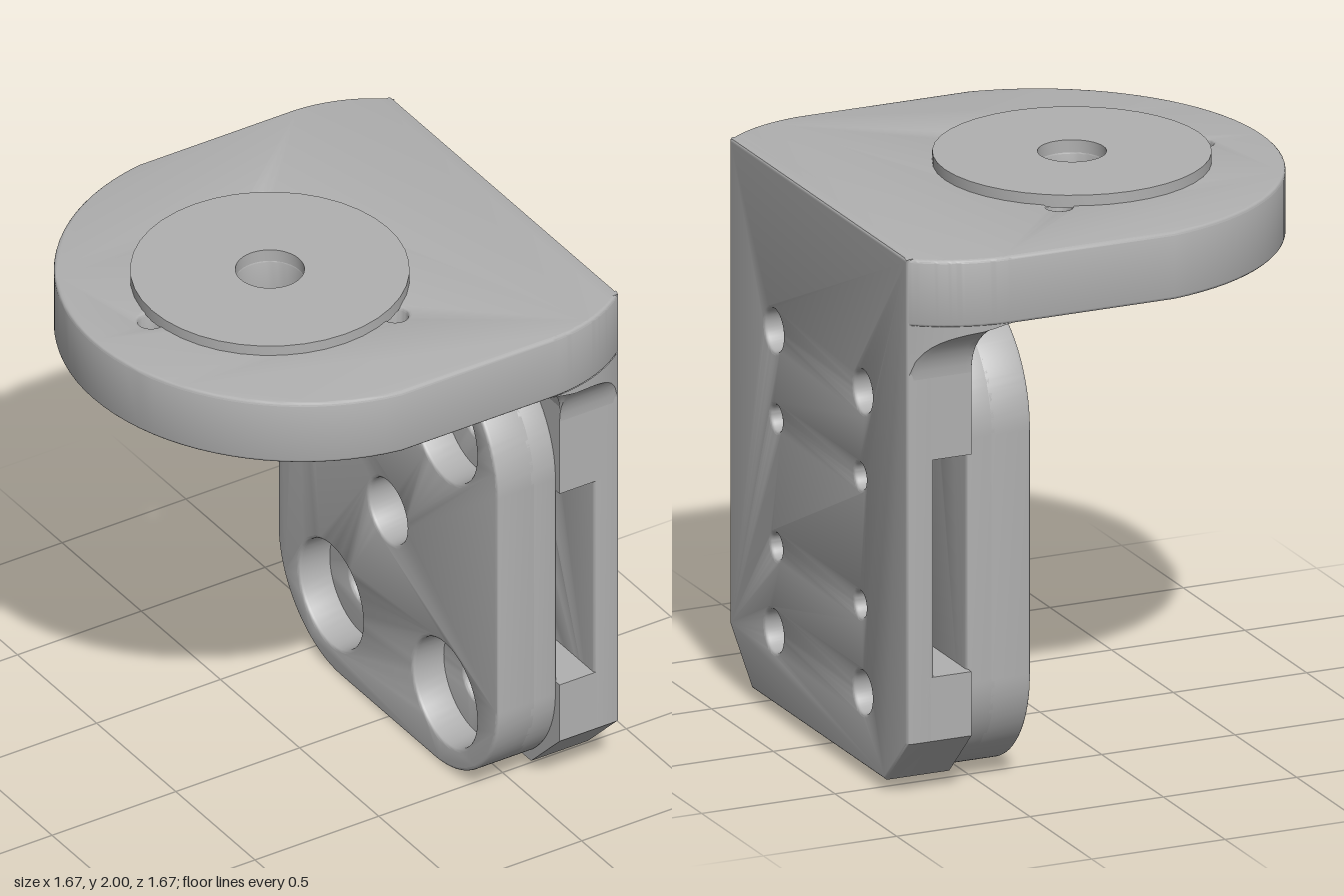
import * as THREE from 'three';
import { toCreasedNormals } from 'three/addons/utils/BufferGeometryUtils.js';

const metal = new THREE.MeshStandardMaterial({ color: 0xb0b0b0 });
metal.name = 'grey metal';

const BEVEL = 0.012;
const AXIS_X = -0.12; // centre of the turntable disc

function addMesh(group, name, geometry) {
  const mesh = new THREE.Mesh(toCreasedNormals(geometry, 0.6), metal);
  mesh.name = name;
  group.add(mesh);
}

// holes are [a, b, radius]
function punch(shape, holes) {
  for (const [a, b, r] of holes) {
    shape.holes.push(new THREE.Path().absarc(a, b, r, 0, Math.PI * 2, true));
  }
  return shape;
}

function extrude(shape, from, to, bevel) {
  const geometry = new THREE.ExtrudeGeometry(shape, {
    depth: to - from - 2 * bevel, curveSegments: 20, bevelEnabled: bevel > 0,
    bevelThickness: bevel, bevelSize: bevel, bevelOffset: -bevel, bevelSegments: 3,
  });
  return geometry.translate(0, 0, from + bevel);
}

// slab drawn in (z, y), thick along x
const slabX = (shape, x0, x1, bevel = 0) => extrude(shape, x0, x1, bevel).rotateY(Math.PI / 2);
// slab drawn in (x, z), thick along y
const slabY = (shape, y0, y1, bevel = 0) => extrude(shape, y0, y1, bevel).rotateX(-Math.PI / 2);

const polygon = (points) => new THREE.Shape(points.map(([a, b]) => new THREE.Vector2(a, b)));

// the same holes at +a and -a for each height
const pairs = (a, heights, r) => heights.flatMap((b) => [[a, b, r], [-a, b, r]]);

// half width of the top plate along x
const halfWidth = (x) => (x < 0.49 ? 0.835 : 0.295 + Math.sqrt(0.54 ** 2 - (x - 0.49) ** 2));

function topPlateShape() {
  const shape = new THREE.Shape();
  const sweep = Math.atan2(0.835, -0.13);
  shape.moveTo(0.83, -0.715);
  shape.lineTo(0.83, 0.715);
  shape.absarc(0.49, 0.295, 0.54, Math.atan2(0.42, 0.34), Math.PI / 2, false);
  shape.absarc(0.01, 0, 0.845, sweep, 2 * Math.PI - sweep, false);
  shape.absarc(0.49, -0.295, 0.54, -Math.PI / 2, -Math.atan2(0.42, 0.34), false);
  return shape;
}

function roundedRect(w, y0, y1, r) {
  const shape = new THREE.Shape();
  shape.absarc(w - r, y0 + r, r, -Math.PI / 2, 0, false);
  shape.absarc(w - r, y1 - r, r, 0, Math.PI / 2, false);
  shape.absarc(r - w, y1 - r, r, Math.PI / 2, Math.PI, false);
  shape.absarc(r - w, y0 + r, r, Math.PI, Math.PI * 1.5, false);
  return shape;
}

// concave fillet swept around the upright, trimmed to the top plate's outline
function filletGeometry() {
  const X = 0.59, Z = 0.72, top = 1.725, rows = 10;
  const path = []; // [x, z, turn] with turn 0 facing the side, 1 facing inwards
  for (let i = 0; i <= 10; i++) path.push([0.83 - (0.83 - X) * i / 10, Z, 0]);
  for (let i = 1; i <= 8; i++) path.push([X, Z, i / 8]);
  const mirrored = path.map(([x, z, t]) => [x, -z, t]).reverse();
  const stations = [...path, ...mirrored];
  const positions = [], index = [];
  stations.forEach(([px, pz, turn], i) => {
    const r = 0.2 - 0.06 * turn, angle = turn * Math.PI / 2, side = Math.sign(pz);
    for (let j = 0; j <= rows + 1; j++) {
      const d = r * (1 - Math.cos(Math.min(j / rows, 1) * Math.PI / 2));
      const x = px - d * Math.sin(angle);
      const z = Math.min(Z + d * Math.cos(angle), halfWidth(x));
      const dist = Math.min(r, Math.hypot(px - x, Math.max(0, z - Z)));
      const y = j > rows ? top : top - r + Math.sqrt(Math.max(0, r * r - (r - dist) ** 2));
      positions.push(x, y, side * z);
    }
    if (i === 0) return;
    const n = rows + 2;
    for (let j = 0; j <= rows; j++) {
      const a = (i - 1) * n + j, c = i * n + j;
      index.push(a, a + 1, c, a + 1, c + 1, c);
    }
  });
  const geometry = new THREE.BufferGeometry();
  geometry.setAttribute('position', new THREE.Float32BufferAttribute(positions, 3));
  geometry.setIndex(index);
  geometry.computeVertexNormals();
  return geometry;
}

export function createModel() {
  const model = new THREE.Group();
  model.name = 'angle bracket';

  // horizontal plate with a bore and three pin holes
  const bore = [AXIS_X, 0, 0.118];
  const pins = [0, 1, 2].map((k) => {
    const a = Math.PI + k * Math.PI * 2 / 3;
    return [AXIS_X + 0.48 * Math.cos(a), 0.48 * Math.sin(a), 0.045];
  });
  addMesh(model, 'topPlate', slabY(punch(topPlateShape(), [bore, ...pins]), 1.72, 1.962, BEVEL));

  // raised turntable disc
  const disc = new THREE.Shape().absarc(AXIS_X, 0, 0.476, 0, Math.PI * 2, false);
  addMesh(model, 'turntableDisc', slabY(punch(disc, [bore]), 1.955, 2));

  // upright: outer wall, with blocks above and below the open channel
  const wall = polygon([[-0.54, 0.04], [0.54, 0.04], [0.72, 0.22], [0.72, 1.962], [-0.72, 1.962], [-0.72, 0.22]]);
  const wallHoles = [...pairs(0.36, [0.3, 1.38], 0.075), ...pairs(0.34, [0.61, 1.07], 0.046)];
  addMesh(model, 'uprightWall', slabX(punch(wall, wallHoles), 0.73, 0.832, BEVEL));

  const upper = polygon([[-0.72, 1.23], [0.72, 1.23], [0.72, 1.75], [-0.72, 1.75]]);
  addMesh(model, 'upperBlock', slabX(punch(upper, pairs(0.36, [1.38], 0.075)), 0.59, 0.76));

  const lower = polygon([[-0.54, 0.04], [0.54, 0.04], [0.72, 0.22], [0.72, 0.45], [-0.72, 0.45], [-0.72, 0.22]]);
  addMesh(model, 'lowerBlock', slabX(punch(lower, pairs(0.36, [0.3], 0.075)), 0.59, 0.76));

  addMesh(model, 'fillet', filletGeometry());

  // clamp plate: counterbored front layer over a drilled back layer
  const centre = [0, 0.84, 0.12];
  const layers = [['clampPlateFront', 0.355, 0.515, 0.2], ['clampPlateBack', 0.48, 0.596, 0.075]];
  for (const [name, x0, x1, r] of layers) {
    const shape = punch(roundedRect(0.695, 0.002, 1.677, 0.4), [centre, ...pairs(0.36, [0.3, 1.38], r)]);
    addMesh(model, name, slabX(shape, x0, x1, BEVEL));
  }
  return model;
}
